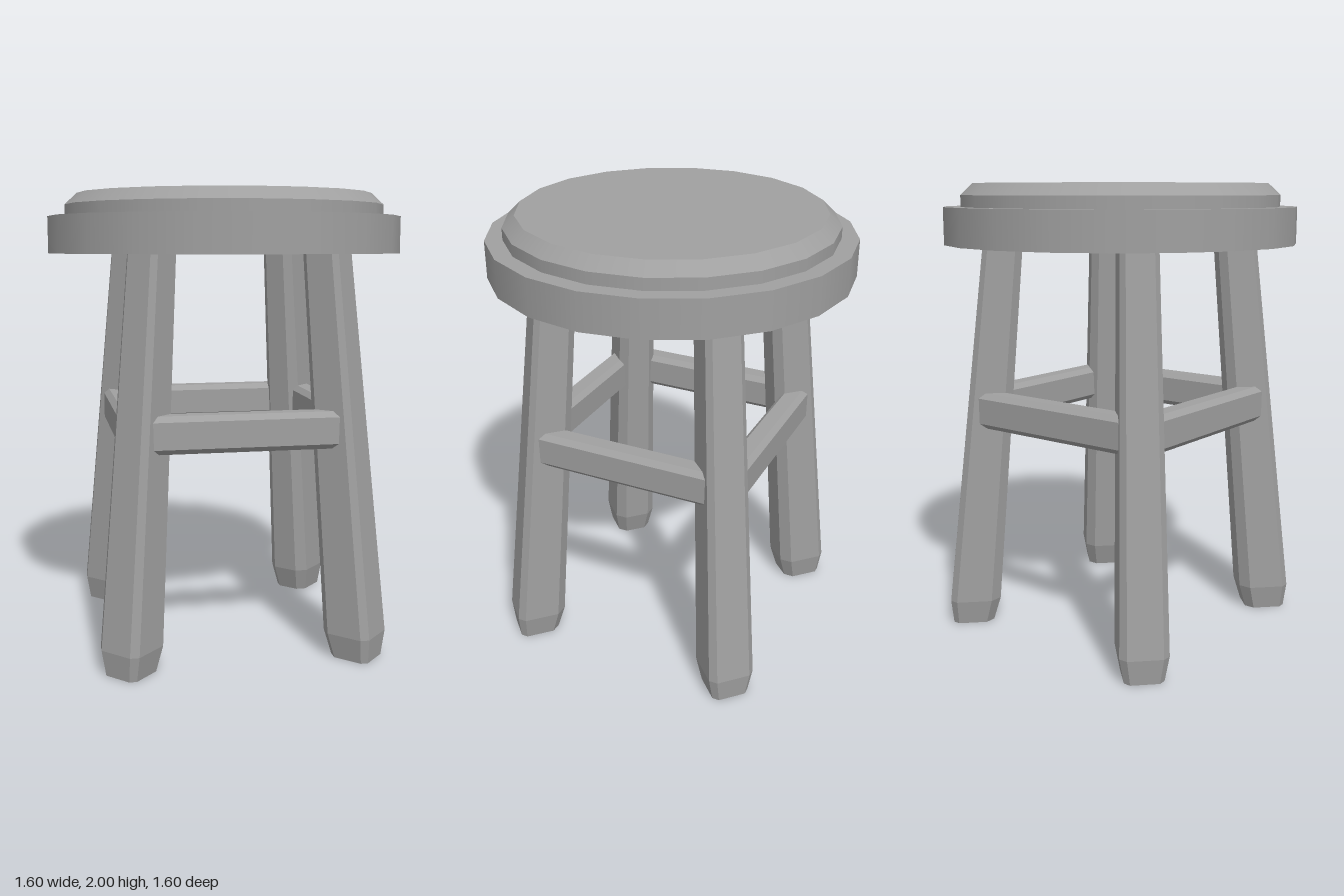
import * as THREE from 'three';

const grey = new THREE.MeshStandardMaterial({ color: 0xa0a0a0 });
grey.name = 'grey';

function mesh(name, geometry) {
  const m = new THREE.Mesh(geometry, grey);
  m.name = name;
  return m;
}

// Flat-shaded solid through stacked rings of [x, y, z] points, capped at both ends
function loft(rings) {
  const n = rings[0].length, pos = [];
  const tri = (a, b, c) => pos.push(...a, ...b, ...c);
  for (let r = 0; r < rings.length - 1; r++) {
    const lo = rings[r], hi = rings[r + 1];
    for (let i = 0; i < n; i++) {
      const j = (i + 1) % n;
      tri(lo[i], lo[j], hi[j]);
      tri(lo[i], hi[j], hi[i]);
    }
  }
  const bottom = rings[0], top = rings[rings.length - 1];
  for (let i = 1; i < n - 1; i++) {
    tri(bottom[0], bottom[i + 1], bottom[i]);
    tri(top[0], top[i], top[i + 1]);
  }
  const g = new THREE.BufferGeometry();
  g.setAttribute('position', new THREE.Float32BufferAttribute(pos, 3));
  g.computeVertexNormals();
  return g;
}

// Rectangle with cut corners: c on the +v side, d on the -v side
function cutRect(w, h, c, d) {
  return [
    [w - c, h], [w, h - c], [w, d - h], [w - d, -h],
    [d - w, -h], [-w, d - h], [-w, h - c], [c - w, h],
  ];
}

// Splayed leg: narrow foot, widest just above it, tapering up to the seat
function legGeometry() {
  const section = cutRect(0.104, 0.114, 0.028, 0.042);
  const ring = (y, s) => section.map(([x, z]) => [x * s, y, 0.696 - 0.0995 * y + z * s]);
  return loft([ring(0, 0.81), ring(0.11, 1), ring(1.76, 0.76)]);
}

// Chamfered crossbar running along x
function crossbarGeometry() {
  const shape = new THREE.Shape(cutRect(0.055, 0.08, 0.023, 0.023).map(([x, y]) => new THREE.Vector2(x, y)));
  const g = new THREE.ExtrudeGeometry(shape, { depth: 0.84, bevelEnabled: false });
  return g.translate(0, 0, -0.42).rotateY(Math.PI / 2).translate(0, 1.007, 0.465);
}

function disc(name, rTop, rBottom, y0, y1) {
  const m = mesh(name, new THREE.CylinderGeometry(rTop, rBottom, y1 - y0, 20));
  m.position.y = (y0 + y1) / 2;
  return m;
}

export function createModel() {
  const stool = new THREE.Group();
  stool.name = 'stool';

  // Seat: wide rim, inset step and bevelled top
  stool.add(
    disc('seatRim', 0.78, 0.78, 1.74, 1.9),
    disc('seatStep', 0.705, 0.705, 1.9, 1.95),
    disc('seatTop', 0.652, 0.705, 1.95, 2),
  );

  // Four legs, each with the crossbar leading to the next one
  const leg = legGeometry(), bar = crossbarGeometry();
  for (let i = 0; i < 4; i++) {
    const quarter = new THREE.Group();
    quarter.name = `legAndCrossbar${i + 1}`;
    quarter.rotation.y = THREE.MathUtils.degToRad(10 + 90 * i);
    const crossbar = mesh('crossbar', bar);
    crossbar.rotation.y = Math.PI / 4;
    quarter.add(mesh('leg', leg), crossbar);
    stool.add(quarter);
  }
  return stool;
}
